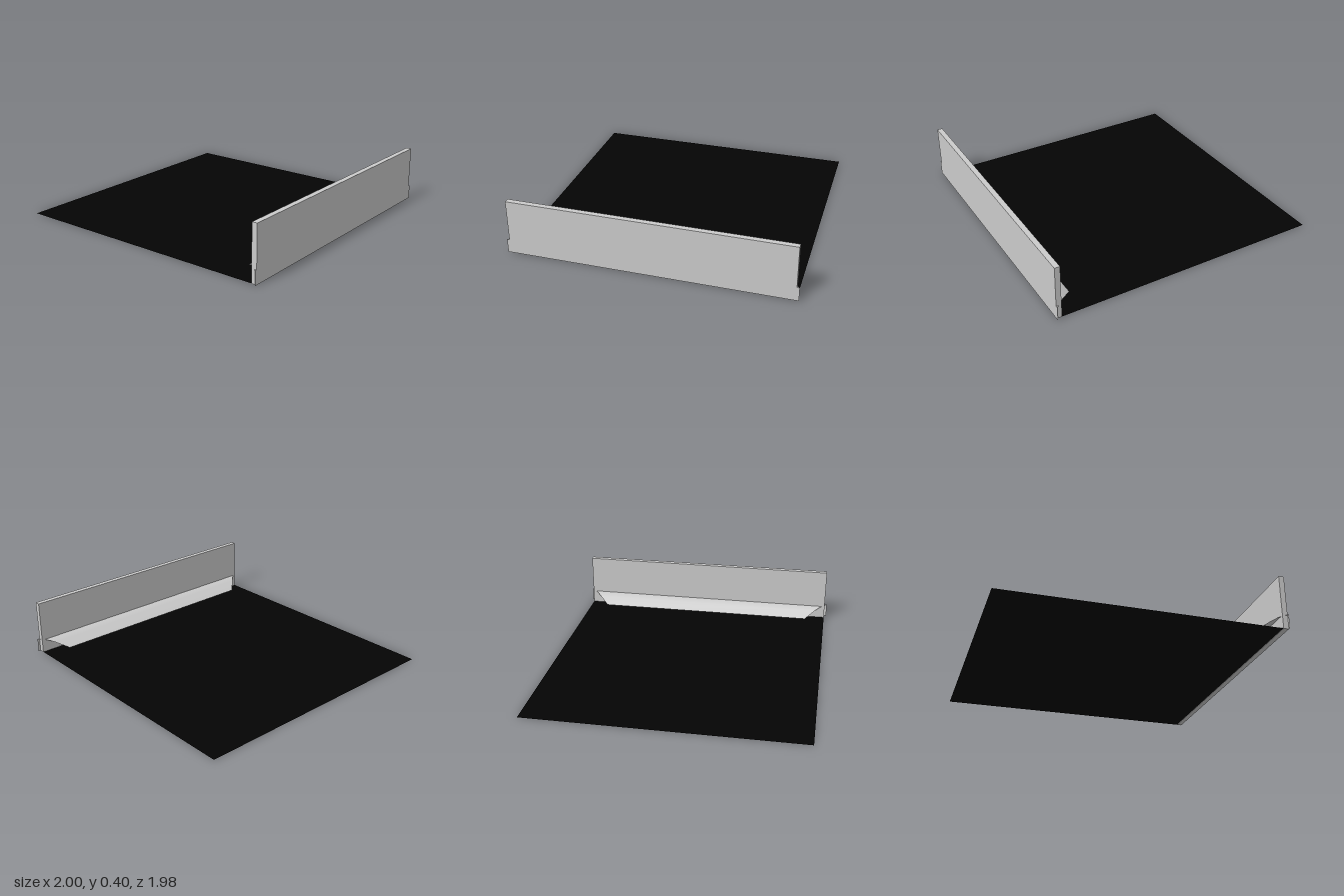
import * as THREE from 'three';

const grey = new THREE.MeshStandardMaterial({ color: 0xcccccc, side: THREE.DoubleSide });
const black = new THREE.MeshStandardMaterial({ color: 0x040404, side: THREE.DoubleSide });

// Thin strip along x through [z, y] profile points, its ends mitred at 45 degrees
function mitredStrip(profile) {
  const positions = [], index = [];
  profile.forEach(([z, y], i) => {
    const half = z + 0.01;
    positions.push(-half, y, z, half, y, z);
    if (i > 0) {
      const a = (i - 1) * 2;
      index.push(a, a + 1, a + 3, a, a + 3, a + 2);
    }
  });
  const geometry = new THREE.BufferGeometry();
  geometry.setAttribute('position', new THREE.Float32BufferAttribute(positions, 3));
  geometry.setIndex(index);
  geometry.computeVertexNormals();
  return geometry;
}

export function createModel() {
  const model = new THREE.Group();
  const add = (name, geometry, material, x, y, z) => {
    const mesh = new THREE.Mesh(geometry, material);
    mesh.name = name;
    mesh.position.set(x, y, z);
    model.add(mesh);
  };

  // Flat dark floor sheet
  add('floor', new THREE.PlaneGeometry(1.965, 1.94).rotateX(-Math.PI / 2), black, 0, 0.001, -0.02);

  // Upright board along the front edge
  add('frontBoard', new THREE.BoxGeometry(1.965, 0.395, 0.038), grey, 0, 0.1975, 0.971);

  // Moulding through the board: upright front strip, then a rounded slope to the floor
  add('mouldingFront', mitredStrip([[0.99, 0], [0.99, 0.1]]), grey, 0, 0, 0);
  add('mouldingSlope', mitredStrip([
    [0.99, 0.1], [0.955, 0.098], [0.935, 0.094], [0.915, 0.087], [0.895, 0.078], [0.82, 0.035],
  ]), grey, 0, 0, 0);

  return model;
}
